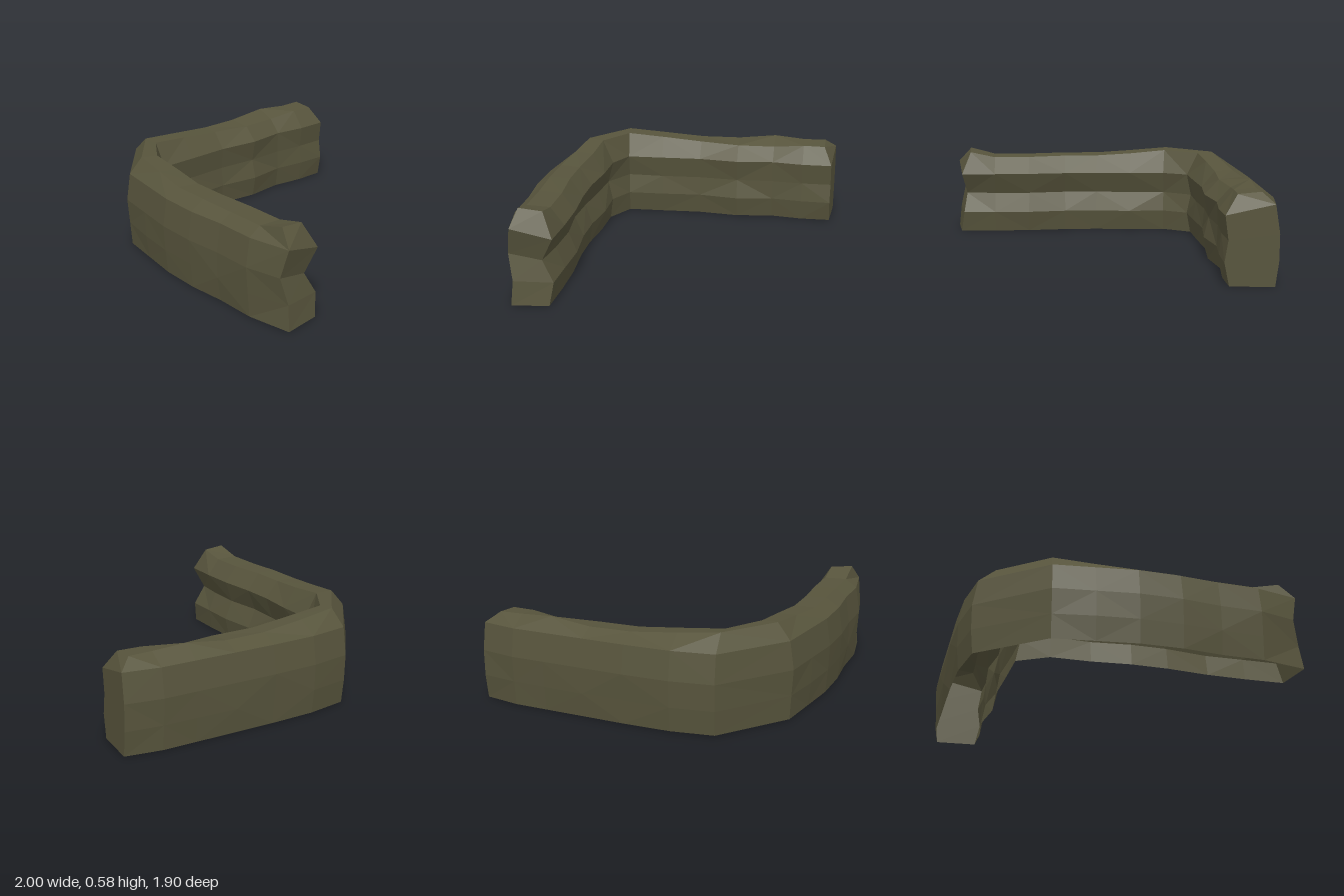
import * as THREE from 'three';

// Stations along the bent wall: inner x, inner z, outer x, outer z,
// crest height, groove depth, crest position across the wall, drop of the inner crest edge
const STATIONS = [
  [0.96, 0.61, 1.0, 0.88, 0.578, 0.075, 0.78, 0.015],
  [0.72, 0.60, 0.72, 0.93, 0.53, 0.06, 0.69, 0.005],
  [0.48, 0.60, 0.46, 0.93, 0.53, 0.05, 0.69, 0.005],
  [0.22, 0.62, 0.22, 0.95, 0.535, 0.06, 0.65, 0.005],
  [0.0, 0.62, -0.04, 0.945, 0.535, 0.05, 0.65, 0.005],
  [-0.24, 0.595, -0.29, 0.91, 0.555, 0.05, 0.64, 0.008],
  [-0.48, 0.59, -0.54, 0.875, 0.578, 0.04, 0.61, 0.008],
  [-0.64, 0.51, -0.945, 0.55, 0.575, 0.03, 0.57, 0.008],
  [-0.65, 0.27, -0.99, 0.29, 0.55, 0.02, 0.57, 0.005],
  [-0.665, 0.0, -1.0, 0.0, 0.525, 0.02, 0.6, 0.005],
  [-0.64, -0.27, -1.0, -0.26, 0.525, 0.03, 0.66, 0.015],
  [-0.675, -0.52, -1.0, -0.52, 0.555, 0.01, 0.62, 0.05],
  [-0.65, -0.73, -1.0, -0.73, 0.54, 0.02, 0.61, 0.012],
  [-0.655, -0.93, -0.965, -0.955, 0.54, 0.02, 0.7, 0.012],
];
const LEVELS_IN = [0, 0.14, 0.27, 0.415];
const LEVELS_OUT = [0.48, 0.31, 0.15, 0];
const INSET_OUT = [0.028, 0, 0, 0.018];
const END_PULL = [0, 0.02, 0.05, 0.01, 0.08, 0.095, 0.01, 0.055, 0.02, 0];

function section([ix, iz, ox, oz, h, groove, crest, drop], i) {
  const inner = new THREE.Vector3(ix, 0, iz);
  const outer = new THREE.Vector3(ox, 0, oz);
  const width = inner.distanceTo(outer);
  const at = (d, y) => inner.clone().lerp(outer, d / width).setY(y);
  const wobble = 0.005 * (1 + Math.sin(i * 2.3));
  const insetIn = [0.03, wobble, groove, 0];
  const points = [
    ...LEVELS_IN.map((y, k) => at(insetIn[k], y)),
    at(width * 0.25, h - drop),
    at(width * crest, h),
    ...LEVELS_OUT.map((y, k) => at(width - INSET_OUT[k] - (k === 2 ? wobble : 0), y)),
  ];
  // Ragged front-arm end, and a bevelled crest at the back end
  if (i === 0) {
    points.forEach((p, k) => { p.x -= END_PULL[k]; });
    points[8].z -= 0.025;
  }
  if (i === STATIONS.length - 1) { points[4].z += 0.06; points[5].z += 0.07; }
  return points;
}

function buildWall() {
  const rings = STATIONS.map(section);
  const n = rings[0].length;
  const pos = [];
  const tri = (...pts) => pts.forEach((p) => pos.push(p.x, p.y, p.z));
  // Skin between neighbouring sections, open underneath, with alternating diagonals
  for (let i = 0; i < rings.length - 1; i++) {
    for (let j = 0; j < n - 1; j++) {
      const a = rings[i][j], b = rings[i][j + 1];
      const c = rings[i + 1][j], d = rings[i + 1][j + 1];
      if ((i + j) % 2) { tri(a, c, b); tri(c, d, b); }
      else { tri(a, c, d); tri(a, d, b); }
    }
  }
  // End caps
  const cap = (r, flip) => {
    for (let j = 0; j < n / 2 - 1; j++) {
      const a = r[j], b = r[j + 1], c = r[n - 2 - j], d = r[n - 1 - j];
      if (flip) { tri(a, d, b); tri(b, d, c); }
      else { tri(a, b, d); tri(b, c, d); }
    }
  };
  cap(rings[0], false);
  cap(rings[rings.length - 1], true);
  const geometry = new THREE.BufferGeometry();
  geometry.setAttribute('position', new THREE.Float32BufferAttribute(pos, 3));
  geometry.computeVertexNormals();
  return geometry;
}

export function createModel() {
  const stone = new THREE.MeshStandardMaterial({
    color: 0x57543c, flatShading: true, side: THREE.DoubleSide,
  });
  stone.name = 'mossy stone';
  const wall = new THREE.Mesh(buildWall(), stone);
  wall.name = 'cornerWall';
  const group = new THREE.Group();
  group.name = 'lowCornerWall';
  group.add(wall);
  return group;
}
